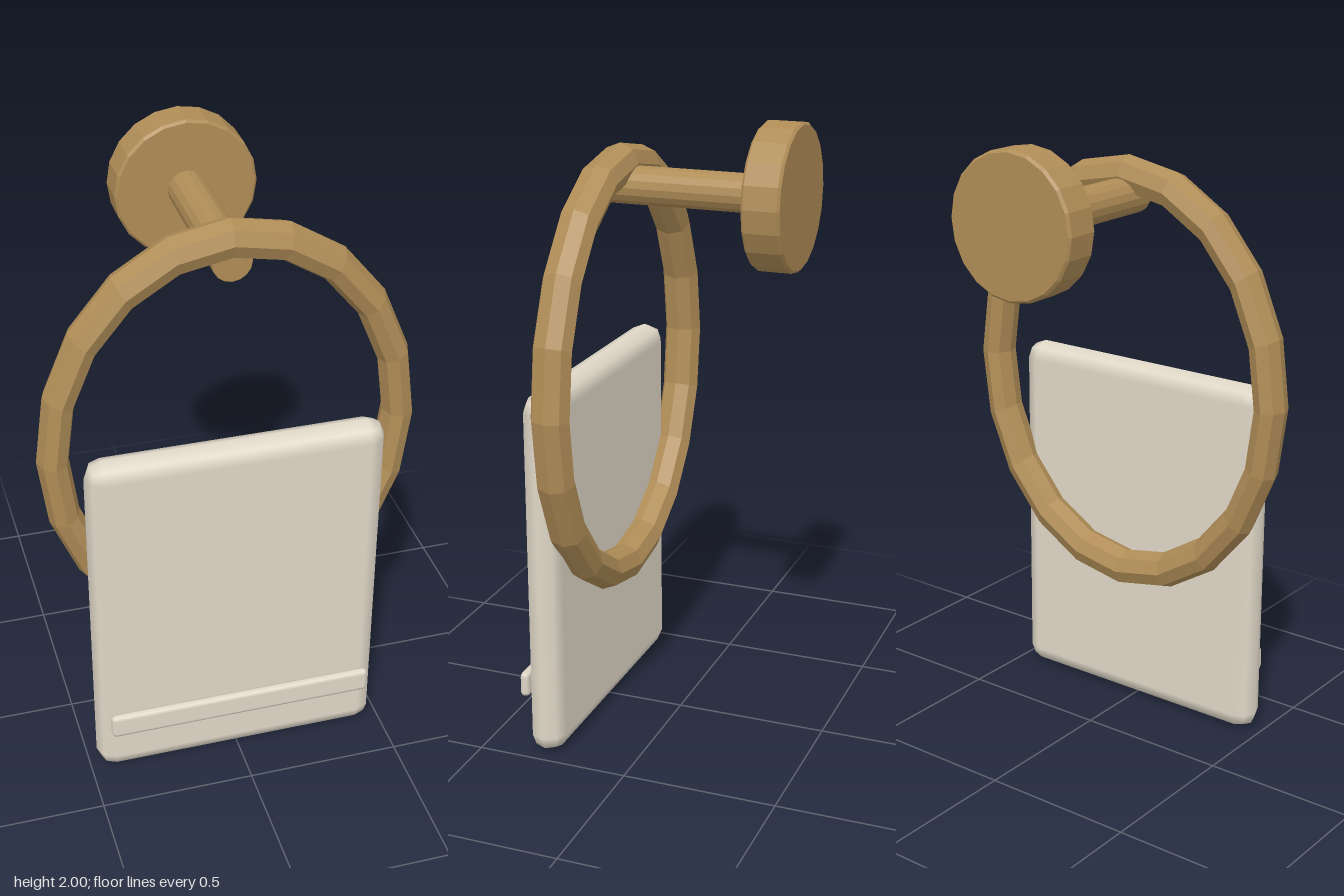
import * as THREE from 'three';
import { RoundedBoxGeometry } from 'three/addons/geometries/RoundedBoxGeometry.js';

const brass = new THREE.MeshStandardMaterial({ color: 0xb08d57, flatShading: true });
const cloth = new THREE.MeshStandardMaterial({ color: 0xe0d8c8 });

function part(name, geometry, material, x, y, z) {
  const mesh = new THREE.Mesh(geometry, material);
  mesh.name = name;
  mesh.position.set(x, y, z);
  return mesh;
}

// Closed, slightly bevelled disc or rod running along z from 0 to length
function turned(radius, length, bevel, sides) {
  const profile = [
    [0, 0], [radius - bevel, 0], [radius, bevel],
    [radius, length - bevel], [radius - bevel, length], [0, length],
  ].map(([r, h]) => new THREE.Vector2(r, h));
  return new THREE.LatheGeometry(profile, sides).rotateX(Math.PI / 2);
}

export function createModel() {
  const model = new THREE.Group();
  model.name = 'towelRing';

  // Wall mount and the post that carries the ring
  model.add(part('wallPlate', turned(0.228, 0.12, 0.008, 20), brass, 0, 1.772, -0.39));
  model.add(part('post', turned(0.061, 0.505, 0.002, 16), brass, 0, 1.775, -0.27));

  // Oval hanging ring, stretched upright
  const ring = new THREE.TorusGeometry(0.549, 0.05, 8, 20).scale(1, 1.22, 1.26);
  model.add(part('ring', ring, brass, 0, 1.172, 0.201));

  // Folded towel with soft edges and a raised band near its hem
  const towel = new RoundedBoxGeometry(0.95, 1.205, 0.118, 1, 0.058);
  model.add(part('towel', towel, cloth, 0, 0.6025, 0.292));
  const band = new RoundedBoxGeometry(0.876, 0.084, 0.032, 1, 0.0155);
  model.add(part('towelBand', band, cloth, 0, 0.216, 0.372));

  return model;
}
